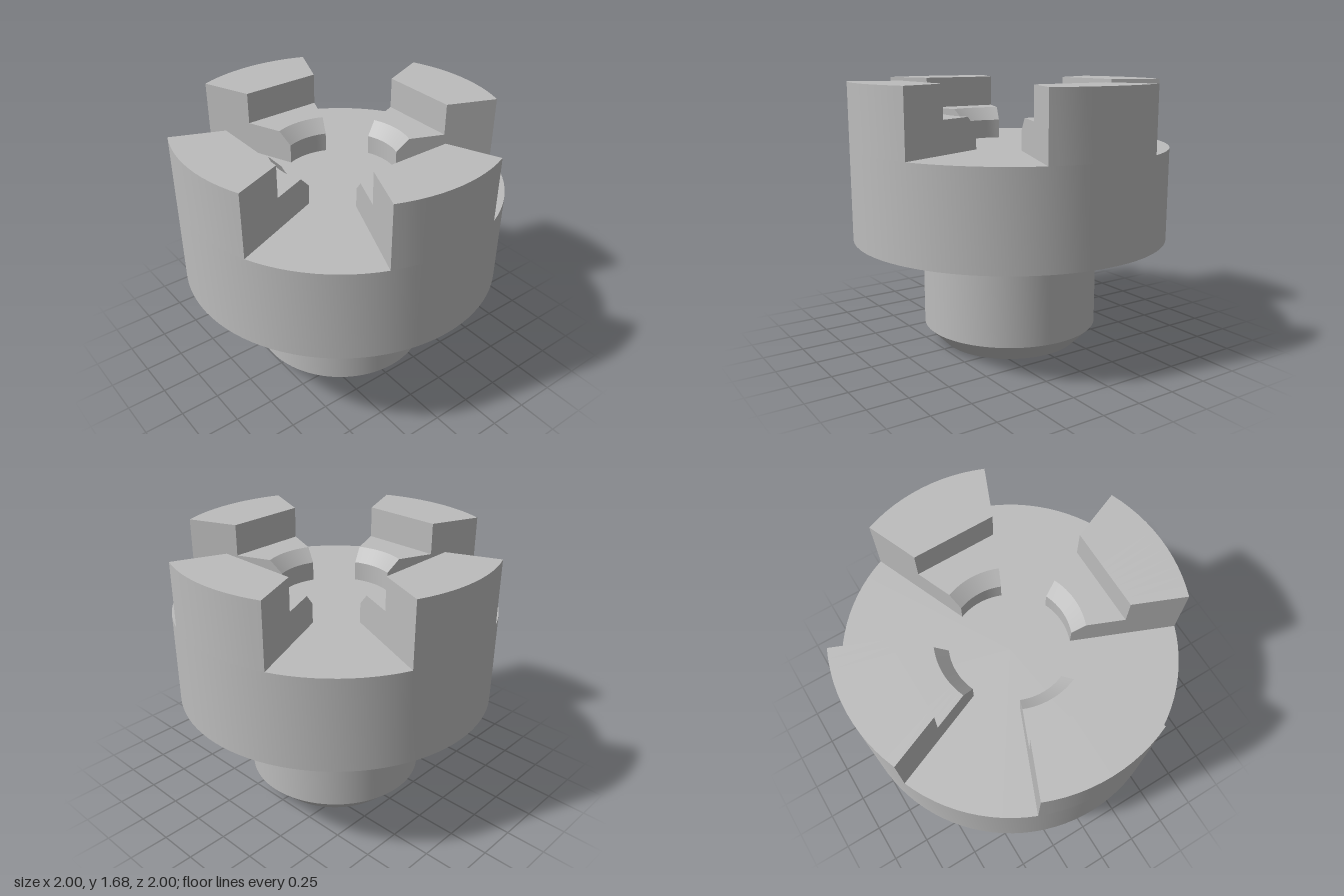
import * as THREE from 'three';
import { toCreasedNormals } from 'three/addons/utils/BufferGeometryUtils.js';

const SEGMENTS = 96;
const HALF_ANGLE = Math.PI / 8;

// Turned solid: chamfered shank below a wide head
function bodyGeometry() {
  const profile = [[0, 0], [0.44, 0], [0.56, 0.12], [0.56, 0.7], [1, 0.7], [1, 1.28], [0, 1.28]]
    .map(([r, y]) => new THREE.Vector2(r, y));
  return toCreasedNormals(new THREE.LatheGeometry(profile, SEGMENTS), 0.5);
}

// Jaw section at angle t: rounded chamfered toe, flat riser, rounded outer wall
function jawSection(t) {
  const riser = 0.62 / Math.cos(t);
  return [[0.36, 1.28], [0.36, 1.4], [0.44, 1.48], [riser, 1.48], [riser, 1.68], [1, 1.68], [1, 1.28]]
    .map(([r, y]) => [r * Math.cos(t), y, r * Math.sin(t)]);
}

function jawGeometry() {
  const steps = SEGMENTS / 8;
  const rings = [];
  for (let i = 0; i <= steps; i++) rings.push(jawSection(HALF_ANGLE * (2 * i / steps - 1)));

  const positions = [];
  const triangle = (a, b, c) => positions.push(...a, ...b, ...c);

  // Skin between neighbouring sections
  for (let i = 0; i < steps; i++) {
    for (let k = 0; k < 6; k++) {
      const a = rings[i][k], b = rings[i + 1][k];
      const c = rings[i][k + 1], d = rings[i + 1][k + 1];
      triangle(a, b, c);
      triangle(b, d, c);
    }
  }

  // Flat side walls, fanned from the outer bottom corner
  const first = rings[0], last = rings[steps];
  for (let k = 0; k < 5; k++) {
    triangle(first[6], first[k], first[k + 1]);
    triangle(last[6], last[k + 1], last[k]);
  }

  const geometry = new THREE.BufferGeometry();
  geometry.setAttribute('position', new THREE.Float32BufferAttribute(positions, 3));
  return toCreasedNormals(geometry, 0.5);
}

export function createModel() {
  const model = new THREE.Group();
  model.name = 'jawChuck';
  const steel = new THREE.MeshStandardMaterial({ color: 0xbcbcbc });
  steel.name = 'steel grey';

  const body = new THREE.Mesh(bodyGeometry(), steel);
  body.name = 'body';
  model.add(body);

  // Four stepped jaws around the head
  const jaw = jawGeometry();
  for (let i = 0; i < 4; i++) {
    const mesh = new THREE.Mesh(jaw, steel);
    mesh.name = `jaw${i + 1}`;
    mesh.rotation.y = i * Math.PI / 2;
    model.add(mesh);
  }
  return model;
}
